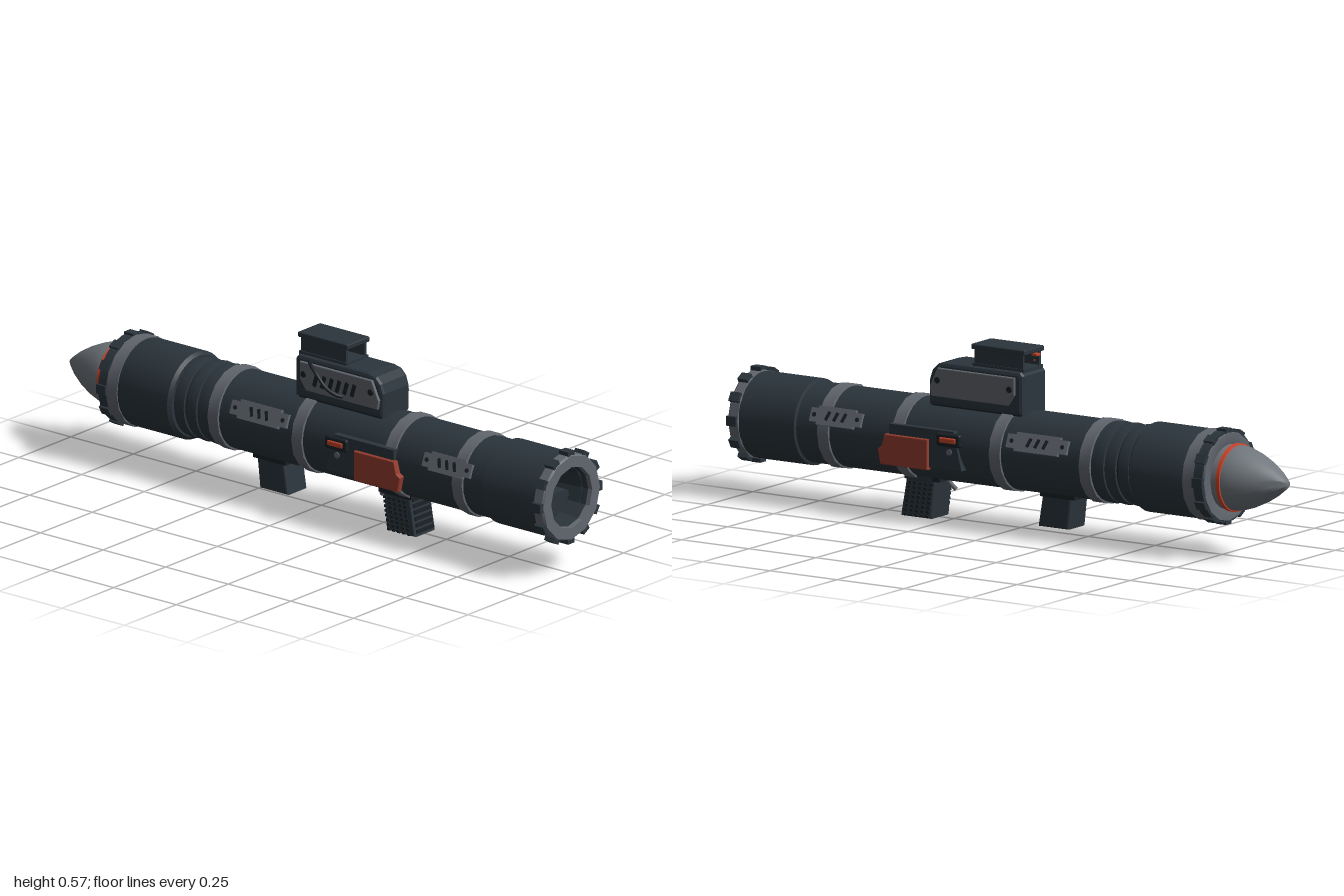
import * as THREE from 'three';
import { toCreasedNormals } from 'three/addons/utils/BufferGeometryUtils.js';
import { RoundedBoxGeometry } from 'three/addons/geometries/RoundedBoxGeometry.js';

const AXIS = 0.254; // height of the tube's centre line

function mat(name, color) {
  const m = new THREE.MeshStandardMaterial({ color });
  m.name = name;
  return m;
}

export function createModel() {
  const root = new THREE.Group();
  root.name = 'rocketLauncher';
  const dark = mat('darkSteel', 0x2b353c);
  const black = mat('blackSteel', 0x1a2126);
  const grey = mat('greySteel', 0x62676f);
  const shell = mat('warheadGrey', 0x70767c);
  const red = mat('dullRed', 0x963c2f);
  const orange = mat('brightRed', 0xc8452c);

  const add = (name, geo, material, pos = [0, 0, 0], parent = root) => {
    const m = new THREE.Mesh(geo, material);
    m.name = name;
    m.position.set(...pos);
    parent.add(m);
    return m;
  };
  const box = (name, material, size, pos, parent) => add(name, new THREE.BoxGeometry(...size), material, pos, parent);
  const rounded = (name, material, size, pos, r, parent) =>
    add(name, new RoundedBoxGeometry(...size, 3, r), material, pos, parent);
  // Turned part along z; profile is [radius, z] with z rising on the outside
  const turned = (name, material, profile, sides = 32, crease = 0.5) => {
    const g = new THREE.LatheGeometry(profile.map(([r, z]) => new THREE.Vector2(r, z)), sides);
    g.rotateX(Math.PI / 2);
    return add(name, toCreasedNormals(g, crease), material, [0, AXIS, 0]);
  };
  // Side outline of [z, y] points given a width along x
  const slab = (name, material, pts, width, x = 0, bevel = 0) => {
    const s = new THREE.Shape(pts.map(([z, y]) => new THREE.Vector2(-z, y)));
    const g = new THREE.ExtrudeGeometry(s, {
      depth: width - 2 * bevel, bevelEnabled: bevel > 0, bevelSize: bevel,
      bevelThickness: bevel, bevelOffset: -bevel, bevelSegments: 2
    });
    g.translate(0, 0, -(width - 2 * bevel) / 2);
    g.rotateY(Math.PI / 2);
    return add(name, g, material, [x, 0, 0]);
  };

  // Tube sections
  turned('mainTube', dark, [[0, -0.36], [0.126, -0.36], [0.126, 0.76], [0, 0.76]]);
  turned('rearSleeve', dark, [[0.12, 0.75], [0.135, 0.755], [0.135, 0.965], [0.09, 0.965]]);
  turned('frontSleeve', dark, [[0.1, -0.705], [0.137, -0.705], [0.14, -0.695], [0.14, -0.5], [0.13, -0.49], [0.1, -0.49]]);
  turned('neckCore', black, [[0.118, -0.5], [0.118, -0.35]]);
  [-0.465, -0.417, -0.372].forEach((z, i) =>
    turned('neckRib' + i, dark, [[0.115, z - 0.021], [0.125, z - 0.019], [0.128, z], [0.125, z + 0.019], [0.115, z + 0.021]]));

  // Clamping bands
  [0.65, 0.375, 0.01, -0.325].forEach((z, i) =>
    turned('band' + i, grey, [[0.12, z - 0.023], [0.133, z - 0.02], [0.133, z + 0.02], [0.12, z + 0.023]], 16));

  // Rear ring with a tapered bore
  turned('rearRing', grey, [[0.13, 0.958], [0.141, 0.962], [0.141, 0.994], [0.136, 1], [0.099, 1], [0.097, 0.985]], 12);
  turned('rearBore', dark, [[0.097, 0.985], [0.083, 0.87]], 12);
  turned('boreFloor', black, [[0.084, 0.872], [0, 0.872]], 12);
  const insert = new THREE.Shape();
  insert.moveTo(-0.078, -0.02);
  insert.absarc(0, 0, 0.085, Math.PI + 0.3, Math.PI * 2 - 0.3, false);
  insert.quadraticCurveTo(0.08, -0.008, 0.06, -0.008);
  insert.lineTo(-0.06, -0.008);
  insert.quadraticCurveTo(-0.08, -0.008, -0.078, -0.02);
  add('boreInsert', new THREE.ExtrudeGeometry(insert, { depth: 0.05, bevelEnabled: false }), dark, [0, AXIS, 0.871]);

  // Muzzle rings
  turned('muzzleBand', grey, [[0.12, -0.742], [0.144, -0.742], [0.144, -0.698], [0.12, -0.698]], 16);
  turned('muzzleRim', dark, [[0.13, -0.772], [0.144, -0.772], [0.144, -0.74], [0.12, -0.74]]);
  turned('muzzleFace', grey, [[0.09, -0.77], [0.105, -0.777], [0.138, -0.777], [0.14, -0.77]], 16);

  // Lugs round both end rings
  [['rearLugs', 0.98, 0.036], ['muzzleLugs', -0.757, 0.036]].forEach(([name, z, len]) => {
    const ring = new THREE.Group();
    ring.name = name;
    ring.position.set(0, AXIS, z);
    root.add(ring);
    for (let i = 0; i < 12; i++) {
      const a = (i / 12) * Math.PI * 2;
      const lug = box('lug', dark, [0.016, 0.03, len], [Math.cos(a) * 0.142, Math.sin(a) * 0.142, 0], ring);
      lug.rotation.z = a;
    }
  });

  // Warhead
  turned('warhead', shell, [[0, -1], [0.008, -0.998], [0.02, -0.985], [0.042, -0.957], [0.066, -0.918],
    [0.086, -0.875], [0.099, -0.835], [0.103, -0.805], [0.1, -0.76]], 32, 1);
  turned('warheadRing', orange, [[0.1, -0.812], [0.1065, -0.81], [0.1065, -0.797], [0.1, -0.795]]);

  // Details repeated on both sides
  for (const s of [1, -1]) {
    const side = s > 0 ? 'left' : 'right';

    // Slotted cover plates lying on the tube
    [[0.605, 0.19], [-0.145, 0.225]].forEach(([z, len], k) => {
      const a = 0.39;
      const g = new THREE.Group();
      g.name = side + 'CoverPlate' + k;
      g.position.set(s * 0.129 * Math.cos(a), AXIS + 0.129 * Math.sin(a), z);
      g.rotation.z = s * a;
      root.add(g);
      box('plate', grey, [0.012, 0.044, len], [0, 0, 0], g);
      box('plateWide', grey, [0.012, 0.06, len * 0.72], [0, 0, 0], g);
      for (let i = -1; i <= 1; i++) {
        const slot = box('slot', black, [0.004, 0.03, 0.011], [s * 0.0055, 0, i * 0.03], g);
        slot.rotation.x = -0.35;
      }
      for (const e of [-1, 1]) {
        const screw = add('screw', new THREE.CylinderGeometry(0.007, 0.007, 0.005, 10), black, [s * 0.006, 0, e * len * 0.42], g);
        screw.rotation.z = Math.PI / 2;
      }
    });

    // Receiver plate, red panel and switch
    slab(side + 'ReceiverPlate', dark, [[0.4, 0.31], [0.16, 0.31], [0.13, 0.19], [0.4, 0.19]], 0.03, s * 0.12);
    slab(side + 'RedPanel', red, [[0.41, 0.278], [0.25, 0.278], [0.25, 0.182], [0.425, 0.182], [0.435, 0.23], [0.42, 0.24]], 0.022, s * 0.136, 0.003);
    rounded(side + 'SwitchFrame', black, [0.022, 0.042, 0.09], [s * 0.134, 0.283, 0.175], 0.008);
    rounded(side + 'Switch', orange, [0.014, 0.018, 0.062], [s * 0.142, 0.283, 0.175], 0.005);
    const pin = add(side + 'Pin', new THREE.CylinderGeometry(0.01, 0.01, 0.02, 12), grey, [s * 0.128, 0.245, 0.175]);
    pin.rotation.z = Math.PI / 2;

    // Scope side cover with screws
    slab(side + 'ScopeCover', grey, [[0.285, 0.4], [0.29, 0.43], [0.262, 0.49], [-0.025, 0.49], [-0.025, 0.435], [0, 0.4]], 0.016, s * 0.067, 0.003);
    for (const z of [0.26, -0.008]) {
      const screw = add(side + 'ScopeScrew', new THREE.CylinderGeometry(0.01, 0.01, 0.008, 12), black, [s * 0.075, 0.452, z]);
      screw.rotation.z = Math.PI / 2;
    }

    // Studs on the rear grip
    for (let i = 0; i < 5; i++) for (let j = 0; j < 8; j++) {
      const y = 0.014 + j * 0.0145;
      box(side + 'GripStud', black, [0.008, 0.008, 0.01], [s * 0.052, y, 0.396 - i * 0.02 - y * 0.16]);
    }
  }

  // Vent row on one side of the scope
  for (let i = 0; i < 6; i++) {
    const vent = box('scopeVent', black, [0.005, 0.042, 0.014], [-0.0745, 0.442, 0.04 + i * 0.03]);
    vent.rotation.x = 0.3;
  }

  // Scope body and base
  slab('scopeBody', dark, [[0.3, 0.37], [0.3, 0.45], [0.29, 0.48], [0.27, 0.5], [0.24, 0.507], [-0.04, 0.507], [-0.05, 0.495], [-0.05, 0.37]], 0.132, 0, 0.012);
  box('scopeBase', black, [0.12, 0.02, 0.33], [0, 0.378, 0.125]);

  // Open tunnel sight
  box('sightFloor', dark, [0.106, 0.012, 0.19], [0, 0.509, 0.05]);
  for (const s of [1, -1]) box('sightWall', dark, [0.01, 0.055, 0.18], [s * 0.044, 0.538, 0.05]);
  rounded('sightRoof', dark, [0.108, 0.017, 0.2], [0, 0.567, 0.05], 0.004);
  box('sightMark', orange, [0.02, 0.007, 0.02], [0, 0.556, -0.055]);
  add('sightBead', new THREE.SphereGeometry(0.003, 8, 6), orange, [0, 0.537, -0.05]);

  // Cable looping beside the scope
  const cable = new THREE.CatmullRomCurve3([[-0.055, 0.492, 0], [-0.078, 0.493, 0.02], [-0.094, 0.475, 0.055],
    [-0.096, 0.435, 0.1], [-0.086, 0.417, 0.13], [-0.065, 0.408, 0.15]].map(p => new THREE.Vector3(...p)));
  add('cable', new THREE.TubeGeometry(cable, 28, 0.006, 8), black);

  // Grips
  slab('rearGrip', dark, [[0.39, 0.15], [0.288, 0.15], [0.302, 0.007], [0.415, 0.007]], 0.1, 0, 0.006);
  for (let i = 0; i < 6; i++) box('gripRidge', black, [0.08, 0.012, 0.01], [0, 0.022 + i * 0.02, 0.411 - i * 0.0035]);
  slab('frontGrip', dark, [[-0.115, 0.15], [-0.22, 0.15], [-0.207, 0.03], [-0.095, 0.03]], 0.094, 0, 0.006);
  box('rearGripMount', black, [0.1, 0.02, 0.13], [0, 0.135, 0.335]);
  box('frontGripMount', black, [0.096, 0.02, 0.13], [0, 0.135, -0.168]);

  // Trigger
  const trig = new THREE.CatmullRomCurve3([[0, 0.14, 0.275], [0, 0.12, 0.265], [0, 0.098, 0.24]].map(p => new THREE.Vector3(...p)));
  add('trigger', new THREE.TubeGeometry(trig, 10, 0.007, 8), grey);

  return root;
}
